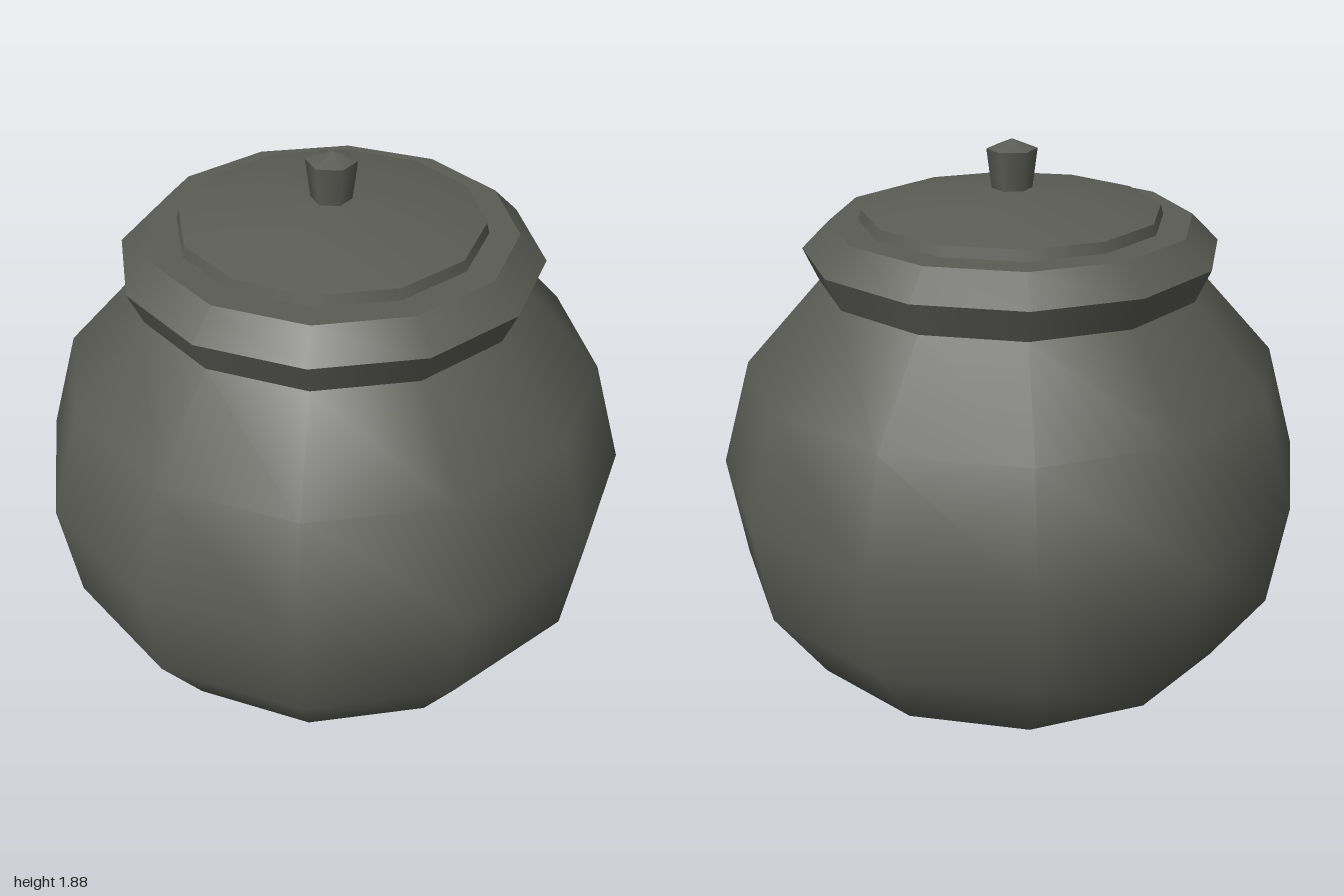
import * as THREE from 'three';

export function createModel() {
  const model = new THREE.Group();
  const ironGrey = new THREE.MeshStandardMaterial({ color: 0x5c5c56 });
  ironGrey.name = 'ironGrey';

  // Turns a profile, listed bottom to top, into a smooth ring of faces.
  const turn = (profile, sides, start = 0) => new THREE.Mesh(
    new THREE.LatheGeometry(profile.map(([r, y]) => new THREE.Vector2(r, y)), sides, start),
    ironGrey
  );

  // Each band is smooth around the pot, with a crisp edge between bands.
  const addPart = (name, bands, sides, start) => {
    const part = new THREE.Group();
    part.name = name;
    bands.forEach((profile, i) => {
      const mesh = turn(profile, sides, start);
      mesh.name = `${name}Band${i + 1}`;
      part.add(mesh);
    });
    model.add(part);
  };

  // Round belly, closed underneath
  addPart('body', [
    [[0, 0], [0.53, 0.005], [0.765, 0.145], [0.945, 0.41], [1, 0.77], [0.895, 1.135], [0.64, 1.42]]
  ], 12);

  // Flared collar, chamfer and flat mouth
  addPart('rim', [
    [[0.64, 1.42], [0.69, 1.53]],
    [[0.69, 1.53], [0.6, 1.62]],
    [[0.6, 1.62], [0, 1.62]]
  ], 12);

  // Shallow domed lid
  addPart('lid', [
    [[0.502, 1.62], [0.493, 1.655]],
    [[0.493, 1.655], [0.27, 1.706], [0, 1.724]]
  ], 12);

  // Six-sided knob with a pointed cap
  addPart('knob', [
    [[0.066, 1.715], [0.083, 1.848]],
    [[0.083, 1.848], [0, 1.88]]
  ], 6, Math.PI / 2);

  return model;
}
